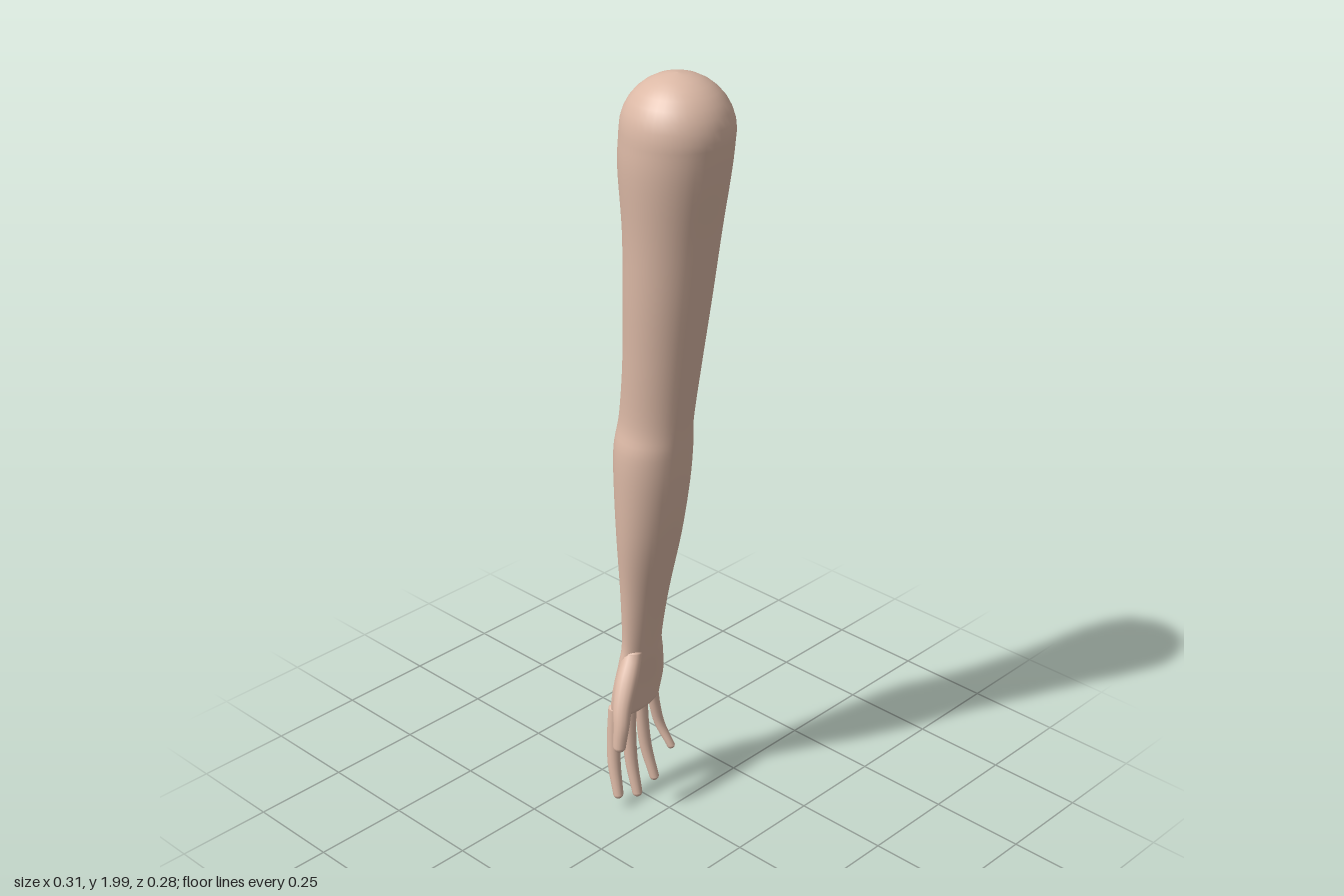
import * as THREE from 'three';

const skin = new THREE.MeshStandardMaterial({ color: 0xdcb9a6 });
skin.name = 'skin';

// Smooth closed loft through horizontal ellipses, listed from top to bottom.
// Each row: [y, xMin, xMax, zMin, zMax]; both ends get a rounded cap.
function loft(name, rows, topCap, bottomCap, steps, sides) {
  const centres = new THREE.CatmullRomCurve3(
    rows.map(([y, x0, x1, z0, z1]) => new THREE.Vector3((x0 + x1) / 2, y, (z0 + z1) / 2)), false, 'catmullrom');
  const halves = new THREE.CatmullRomCurve3(
    rows.map(([, x0, x1, z0, z1]) => new THREE.Vector3((x1 - x0) / 2, 0, (z1 - z0) / 2)), false, 'catmullrom');
  const rings = [];
  const capSteps = 8;
  const addRing = (t, lift, scale) => {
    const c = centres.getPoint(t), h = halves.getPoint(t);
    rings.push([c.x, c.y + lift, c.z, h.x * scale, h.z * scale]);
  };
  for (let i = capSteps; i > 0; i--) {
    const a = (i / capSteps) * Math.PI / 2;
    addRing(0, topCap * Math.sin(a), Math.cos(a));
  }
  const n = (rows.length - 1) * steps;
  for (let i = 0; i <= n; i++) addRing(i / n, 0, 1);
  for (let i = 1; i <= capSteps; i++) {
    const a = (i / capSteps) * Math.PI / 2;
    addRing(1, -bottomCap * Math.sin(a), Math.cos(a));
  }

  const positions = [], indices = [];
  rings.forEach(([x, y, z, hx, hz], j) => {
    for (let i = 0; i < sides; i++) {
      const a = (i / sides) * Math.PI * 2;
      positions.push(x + hx * Math.cos(a), y, z + hz * Math.sin(a));
      if (j === rings.length - 1) continue;
      const p = j * sides + i, q = j * sides + (i + 1) % sides;
      indices.push(p, q, p + sides, q, q + sides, p + sides);
    }
  });
  const geometry = new THREE.BufferGeometry();
  geometry.setAttribute('position', new THREE.Float32BufferAttribute(positions, 3));
  geometry.setIndex(indices);
  geometry.computeVertexNormals();
  const mesh = new THREE.Mesh(geometry, skin);
  mesh.name = name;
  return mesh;
}

// Round digit along a path of [x, y, z, radius]
function digit(name, path) {
  const rows = path.map(([x, y, z, r]) => [y, x - r, x + r, z - r, z + r]);
  const tip = path[path.length - 1][3];
  return loft(name, rows, 0.01, tip, 4, 14);
}

export function createModel() {
  const model = new THREE.Group();
  model.name = 'arm';

  // Shoulder dome, upper arm, elbow, forearm, wrist and palm
  model.add(loft('armAndPalm', [
    [1.87, -0.116, 0.153, -0.14, 0.124],
    [1.78, -0.120, 0.142, -0.138, 0.124],
    [1.62, -0.112, 0.114, -0.127, 0.110],
    [1.45, -0.116, 0.090, -0.115, 0.100],
    [1.28, -0.125, 0.065, -0.102, 0.088],
    [1.13, -0.144, 0.044, -0.094, 0.080],
    [1.05, -0.155, 0.036, -0.105, 0.092],
    [0.95, -0.155, 0.024, -0.106, 0.092],
    [0.80, -0.149, -0.002, -0.097, 0.083],
    [0.63, -0.144, -0.040, -0.079, 0.064],
    [0.49, -0.141, -0.066, -0.070, 0.055],
    [0.43, -0.142, -0.076, -0.082, 0.064],
    [0.35, -0.150, -0.092, -0.099, 0.078],
    [0.28, -0.151, -0.103, -0.090, 0.084],
  ], 0.13, 0.028, 5, 40));

  // Four fingers curling toward the palm: base z, tip z, tip x, tip y, radius
  [
    ['indexFinger', 0.066, 0.088, -0.100, 0.035, 0.017],
    ['middleFinger', 0.014, 0.020, -0.098, 0.008, 0.017],
    ['ringFinger', -0.028, -0.042, -0.096, 0.030, 0.016],
    ['littleFinger', -0.070, -0.099, -0.090, 0.105, 0.014],
  ].forEach(([name, z0, z1, tipX, tipY, r]) => {
    const top = 0.29, end = tipY + r * 0.8;
    const at = (t, x, s) => [x, top + (end - top) * t, z0 + (z1 - z0) * t, r * s];
    model.add(digit(name, [
      at(0, -0.129, 1.1), at(0.33, -0.129, 1.05), at(0.67, -0.121, 1), at(1, tipX, 0.8),
    ]));
  });

  // Thumb splayed forward from the wrist
  model.add(digit('thumb', [
    [-0.097, 0.46, 0.030, 0.024],
    [-0.086, 0.40, 0.064, 0.029],
    [-0.072, 0.34, 0.096, 0.025],
    [-0.060, 0.29, 0.113, 0.021],
    [-0.057, 0.235, 0.124, 0.017],
  ]));

  return model;
}
